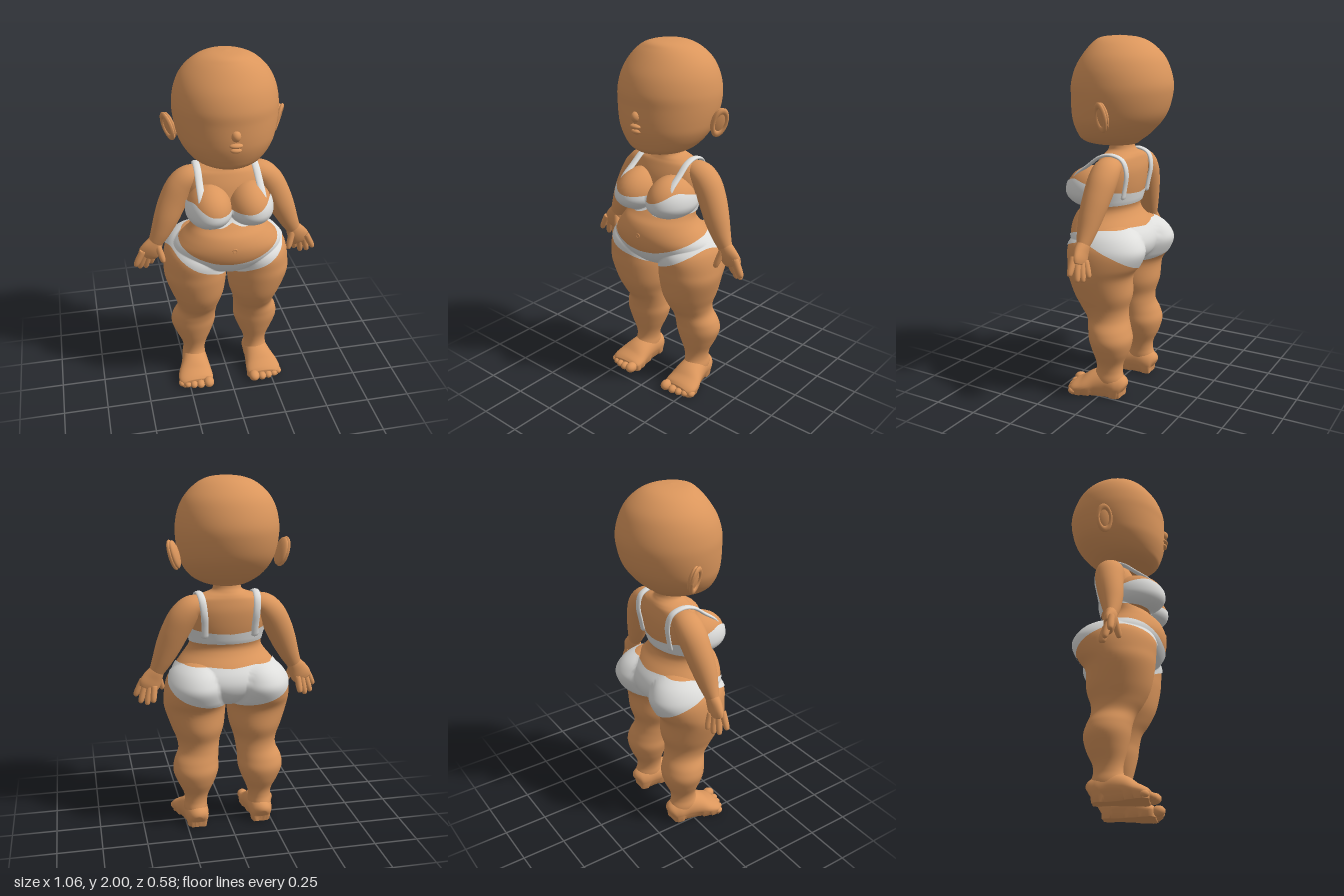
import * as THREE from 'three';

const skin = new THREE.MeshStandardMaterial({ color: 0xdb965c });
skin.name = 'skin';
const cloth = new THREE.MeshStandardMaterial({ color: 0xdededc });
cloth.name = 'cloth';

// Smooth interpolation of a table of rows, t in 0..1
function sample(table, t) {
  const n = table.length - 1, f = Math.min(Math.max(t, 0), 1) * n;
  const i = Math.min(Math.floor(f), n - 1), u = f - i;
  const a = table[Math.max(i - 1, 0)], b = table[i], c = table[i + 1], d = table[Math.min(i + 2, n)];
  return b.map((p, k) => p + 0.5 * u * (c[k] - a[k] + u * (2 * a[k] - 5 * p + 4 * c[k] - d[k]
    + u * (3 * (p - c[k]) + d[k] - a[k]))));
}

// Row of a table sorted by falling first column
function sampleAt(table, y) {
  let lo = 0, hi = 1;
  for (let k = 0; k < 24; k++) {
    const m = (lo + hi) / 2;
    if (sample(table, m)[0] > y) lo = m; else hi = m;
  }
  return sample(table, lo);
}

// Closed-ring surface from point(v, angle)
function rings(rows, cols, point) {
  const pos = [], idx = [];
  for (let r = 0; r <= rows; r++) {
    for (let c = 0; c < cols; c++) {
      pos.push(...point(r / rows, c / cols * Math.PI * 2));
      if (r === rows) continue;
      const a = r * cols + c, b = r * cols + (c + 1) % cols;
      idx.push(a, b, a + cols, b, b + cols, a + cols);
    }
  }
  const g = new THREE.BufferGeometry();
  g.setAttribute('position', new THREE.Float32BufferAttribute(pos, 3));
  g.setIndex(idx);
  g.computeVertexNormals();
  return g;
}

// Vertical loft; rows are [y, centreX, radiusX, frontZ, backZ]
function loft(table, rows = 70, cols = 48) {
  return rings(rows, cols, (v, a) => {
    const [y, cx, rx, zf, zb] = sample(table, v);
    return [cx + rx * Math.cos(a), y, (zf + zb) / 2 + (zf - zb) / 2 * Math.sin(a)];
  });
}

// Sweep along rows of [x, y, z, radiusAlongAxis, otherRadius] with rounded ends
function sweep(table, axis, rows = 32, cols = 20) {
  const V = r => new THREE.Vector3(r[0], r[1], r[2]);
  return rings(rows, cols, (v, a) => {
    const p = sample(table, v);
    const T = V(sample(table, v + 0.01)).sub(V(sample(table, v - 0.01))).normalize();
    const A = axis.clone().addScaledVector(T, -axis.dot(T)).normalize();
    const B = T.clone().cross(A);
    const e = Math.min(v, 1 - v) < 1e-6 ? 0 : 1;
    return V(p).addScaledVector(A, e * p[3] * Math.cos(a)).addScaledVector(B, e * p[4] * Math.sin(a)).toArray();
  });
}

function mirrored(g) {
  const m = g.clone().scale(-1, 1, 1), ix = m.index.array;
  for (let i = 0; i < ix.length; i += 3) [ix[i], ix[i + 1]] = [ix[i + 1], ix[i]];
  m.computeVertexNormals();
  return m;
}

const X = new THREE.Vector3(1, 0, 0), Z = new THREE.Vector3(0, 0, 1);

const TRUNK = [
  [1.46, 0, 0.075, 0.055, -0.08], [1.41, 0, 0.076, 0.055, -0.082], [1.385, 0, 0.09, 0.06, -0.095],
  [1.365, 0, 0.145, 0.07, -0.11], [1.34, 0, 0.195, 0.085, -0.12], [1.28, 0, 0.222, 0.11, -0.13],
  [1.2, 0, 0.22, 0.13, -0.125], [1.12, 0, 0.205, 0.155, -0.11], [1.07, 0, 0.206, 0.195, -0.095],
  [1.03, 0, 0.225, 0.235, -0.11], [0.98, 0, 0.265, 0.256, -0.15], [0.93, 0, 0.3, 0.258, -0.185],
  [0.88, 0, 0.3, 0.245, -0.2], [0.83, 0, 0.24, 0.215, -0.19], [0.79, 0, 0.15, 0.17, -0.16],
  [0.76, 0, 0.08, 0.11, -0.12], [0.735, 0, 0.03, 0.05, -0.07], [0.73, 0, 0, 0, 0],
];
const LEG = [
  [1.0, 0.15, 0, -0.02, -0.02], [0.985, 0.155, 0.07, 0.06, -0.11], [0.95, 0.165, 0.125, 0.14, -0.18],
  [0.9, 0.175, 0.158, 0.195, -0.222], [0.85, 0.178, 0.174, 0.216, -0.235], [0.78, 0.18, 0.18, 0.212, -0.207],
  [0.71, 0.181, 0.176, 0.205, -0.163], [0.6, 0.17, 0.152, 0.18, -0.158], [0.52, 0.167, 0.125, 0.14, -0.135],
  [0.46, 0.169, 0.117, 0.1, -0.136], [0.4, 0.185, 0.127, 0.083, -0.155], [0.34, 0.19, 0.13, 0.074, -0.168],
  [0.27, 0.189, 0.106, 0.058, -0.152], [0.2, 0.188, 0.075, 0.04, -0.12], [0.15, 0.19, 0.065, 0.04, -0.115],
  [0.1, 0.193, 0.068, 0.06, -0.128], [0.04, 0.193, 0.06, 0.06, -0.12],
];
const HEAD = [
  [2.0, 0, 0, 0, 0], [1.99, 0, 0.09, 0.1, -0.1], [1.96, 0, 0.162, 0.145, -0.17],
  [1.9, 0, 0.226, 0.195, -0.235], [1.83, 0, 0.263, 0.237, -0.272], [1.75, 0, 0.28, 0.262, -0.293],
  [1.68, 0, 0.28, 0.264, -0.288], [1.6, 0, 0.268, 0.264, -0.265], [1.54, 0, 0.25, 0.257, -0.228],
  [1.48, 0, 0.212, 0.238, -0.172], [1.44, 0, 0.165, 0.215, -0.12], [1.417, 0, 0.1, 0.165, -0.08],
  [1.41, 0, 0, 0.05, 0.05],
];
const BUST = { x: 0.112, y: 1.16, z: 0.1, rx: 0.124, up: 0.14, down: 0.092, rz: 0.162 };

// Distance from the trunk axis to the outermost of trunk, hips and bust
function bodyRadius(y, cz, a) {
  const dx = Math.cos(a), dz = Math.sin(a);
  let best = 0;
  const hit = (ex, ez, rx, rz) => {
    if (rx < 0.005 || rz < 0.005) return;
    const A = (dx / rx) ** 2 + (dz / rz) ** 2, B = dx * ex / rx ** 2 + dz * ez / rz ** 2;
    const D = B * B - A * ((ex / rx) ** 2 + (ez / rz) ** 2 - 1);
    if (D >= 0) best = Math.max(best, (B + Math.sqrt(D)) / A);
  };
  const [, , rx, zf, zb] = sampleAt(TRUNK, y);
  hit(0, (zf + zb) / 2 - cz, rx, (zf - zb) / 2);
  for (const s of [-1, 1]) {
    if (y < 1) {
      const [, cx, lx, lf, lb] = sampleAt(LEG, y);
      hit(s * cx, (lf + lb) / 2 - cz, lx, (lf - lb) / 2);
    }
    const h = (y - BUST.y) / (y > BUST.y ? BUST.up : BUST.down), k = Math.sqrt(Math.max(0, 1 - h * h));
    hit(s * BUST.x, BUST.z - cz, BUST.rx * k, BUST.rz * k);
  }
  return best;
}

// Close-fitting cloth between two edge lines; edge rows are [-angleFromFront, y]
function garment(top, bottom, rows) {
  return rings(rows, 128, (v, a) => {
    const f = Math.abs(Math.atan2(Math.cos(a), Math.sin(a)));
    const hi = sampleAt(top, -f)[1], lo = sampleAt(bottom, -f)[1];
    const y = hi + (lo - hi) * v, t = sampleAt(TRUNK, y), cz = (t[3] + t[4]) / 2;
    const r = bodyRadius(y, cz, a) + 0.006;
    return [r * Math.cos(a), y, cz + r * Math.sin(a)];
  });
}

export function createModel() {
  const model = new THREE.Group();
  const add = (name, g, mat = skin) => {
    const m = new THREE.Mesh(g, mat);
    m.name = name;
    model.add(m);
  };
  const pair = (name, g, mat) => {
    add('left' + name, g, mat);
    add('right' + name, mirrored(g), mat);
  };
  const ball = (r, sx, sy, sz) => new THREE.SphereGeometry(r, 28, 20).scale(sx, sy, sz);

  // Head with small nose, lips and ears
  add('head', loft(HEAD, 80, 64));
  add('nose', ball(1, 0.026, 0.03, 0.03).translate(0, 1.635, 0.256));
  add('upperLip', ball(1, 0.035, 0.014, 0.022).translate(0, 1.585, 0.262));
  add('lowerLip', ball(1, 0.03, 0.014, 0.02).translate(0, 1.558, 0.258));
  const ear = g => g.rotateY(-0.45).rotateZ(-0.28).translate(0.29, 1.595, -0.06);
  pair('Ear', ear(ball(1, 0.02, 0.078, 0.045)));
  pair('EarRim', ear(new THREE.TorusGeometry(0.04, 0.011, 10, 28).rotateY(Math.PI / 2).scale(1, 1.65, 0.95).translate(0.014, 0, 0)));

  // Trunk
  add('trunk', loft(TRUNK, 100, 64));
  const bust = ball(1, BUST.rx, 1, BUST.rz), bp = bust.attributes.position;
  for (let i = 0; i < bp.count; i++) bp.setY(i, bp.getY(i) * (bp.getY(i) > 0 ? BUST.up : BUST.down));
  bust.computeVertexNormals();
  pair('Chest', bust.translate(BUST.x, BUST.y, BUST.z));
  add('navel', new THREE.TorusGeometry(0.011, 0.004, 8, 18).translate(0, 0.968, 0.256));

  // Arms and hands
  pair('Arm', sweep([
    [0.1, 1.31, -0.03, 0.05, 0.04], [0.19, 1.3, -0.03, 0.075, 0.066], [0.245, 1.25, -0.03, 0.08, 0.078],
    [0.29, 1.17, -0.022, 0.075, 0.078], [0.33, 1.08, -0.01, 0.066, 0.071], [0.365, 1.0, -0.003, 0.052, 0.057],
    [0.392, 0.945, 0, 0.038, 0.045], [0.405, 0.92, 0, 0.03, 0.04],
  ], Z, 44, 28));
  pair('Palm', sweep([
    [0.385, 0.96, 0, 0.03, 0.035], [0.4, 0.93, 0, 0.034, 0.045], [0.42, 0.895, 0, 0.033, 0.056],
    [0.44, 0.86, -0.005, 0.028, 0.06], [0.452, 0.835, -0.008, 0.02, 0.05],
  ], Z, 24, 24));
  [
    [[0.475, 0.885, 0.012], [0.522, 0.79, 0.012]],
    [[0.462, 0.865, -0.002], [0.496, 0.757, -0.02]],
    [[0.44, 0.855, -0.012], [0.46, 0.748, -0.034]],
    [[0.415, 0.855, -0.022], [0.426, 0.764, -0.05]],
    [[0.392, 0.915, 0.015], [0.362, 0.812, 0.04]],
  ].forEach(([a, b], i) => {
    const rows = [0, 0.04, 0.35, 0.7, 0.93, 1].map((t, k) => {
      const r = [0.014, 0.018, 0.0185, 0.0175, 0.013, 0.004][k];
      return [...a.map((p, j) => p + (b[j] - p) * t), r, r];
    });
    pair(i < 4 ? 'Finger' + (i + 1) : 'Thumb', sweep(rows, Z, 18, 14));
  });

  // Legs, feet and toes
  pair('Leg', loft(LEG, 90, 48));
  const foot = sweep([
    [0.192, 0.055, -0.137, 0.02, 0.02], [0.192, 0.06, -0.125, 0.05, 0.055], [0.19, 0.065, -0.09, 0.066, 0.07],
    [0.192, 0.075, -0.03, 0.072, 0.08], [0.198, 0.065, 0.04, 0.084, 0.07], [0.206, 0.045, 0.1, 0.1, 0.05],
    [0.21, 0.033, 0.15, 0.1, 0.036], [0.21, 0.028, 0.175, 0.07, 0.022],
  ], X, 40, 32);
  const fp = foot.attributes.position;
  for (let i = 0; i < fp.count; i++) fp.setY(i, fp.getY(i) < 0.028 ? 0 : fp.getY(i));
  foot.computeVertexNormals();
  pair('Foot', foot);
  [[0.14, 0.031, 0.185], [0.189, 0.024, 0.186], [0.229, 0.022, 0.18], [0.265, 0.021, 0.168], [0.297, 0.02, 0.15]]
    .forEach(([x, r, z], i) => pair('Toe' + (i + 1), ball(r, 1, 0.95, 1.2).translate(x, r, z)));

  // Underclothes
  add('topBand', garment(
    [[0, 1.18], [-0.4, 1.185], [-0.8, 1.235], [-1.1, 1.225], [-1.6, 1.19], [-2.3, 1.165], [-3.15, 1.155]],
    [[0, 1.1], [-0.4, 1.077], [-0.9, 1.08], [-1.6, 1.095], [-3.15, 1.095]], 26), cloth);
  pair('Strap', sweep([
    [0.165, 1.21, 0.2, 0.02, 0.008], [0.165, 1.255, 0.178, 0.02, 0.008], [0.163, 1.31, 0.105, 0.02, 0.009],
    [0.16, 1.358, 0.04, 0.02, 0.009], [0.158, 1.375, -0.03, 0.02, 0.009], [0.153, 1.35, -0.098, 0.02, 0.009],
    [0.146, 1.28, -0.12, 0.02, 0.01], [0.14, 1.2, -0.108, 0.02, 0.01], [0.14, 1.13, -0.094, 0.02, 0.01],
  ], X, 40, 12), cloth);
  add('briefs', garment(
    [[0, 0.88], [-0.4, 0.888], [-0.8, 0.915], [-1.2, 0.95], [-1.6, 0.972], [-2.4, 0.98], [-3.15, 0.97]],
    [[0, 0.742], [-0.3, 0.765], [-0.65, 0.82], [-1.1, 0.885], [-1.55, 0.915], [-1.9, 0.87], [-2.3, 0.795],
      [-2.7, 0.745], [-3.15, 0.738]], 36), cloth);

  return model;
}
